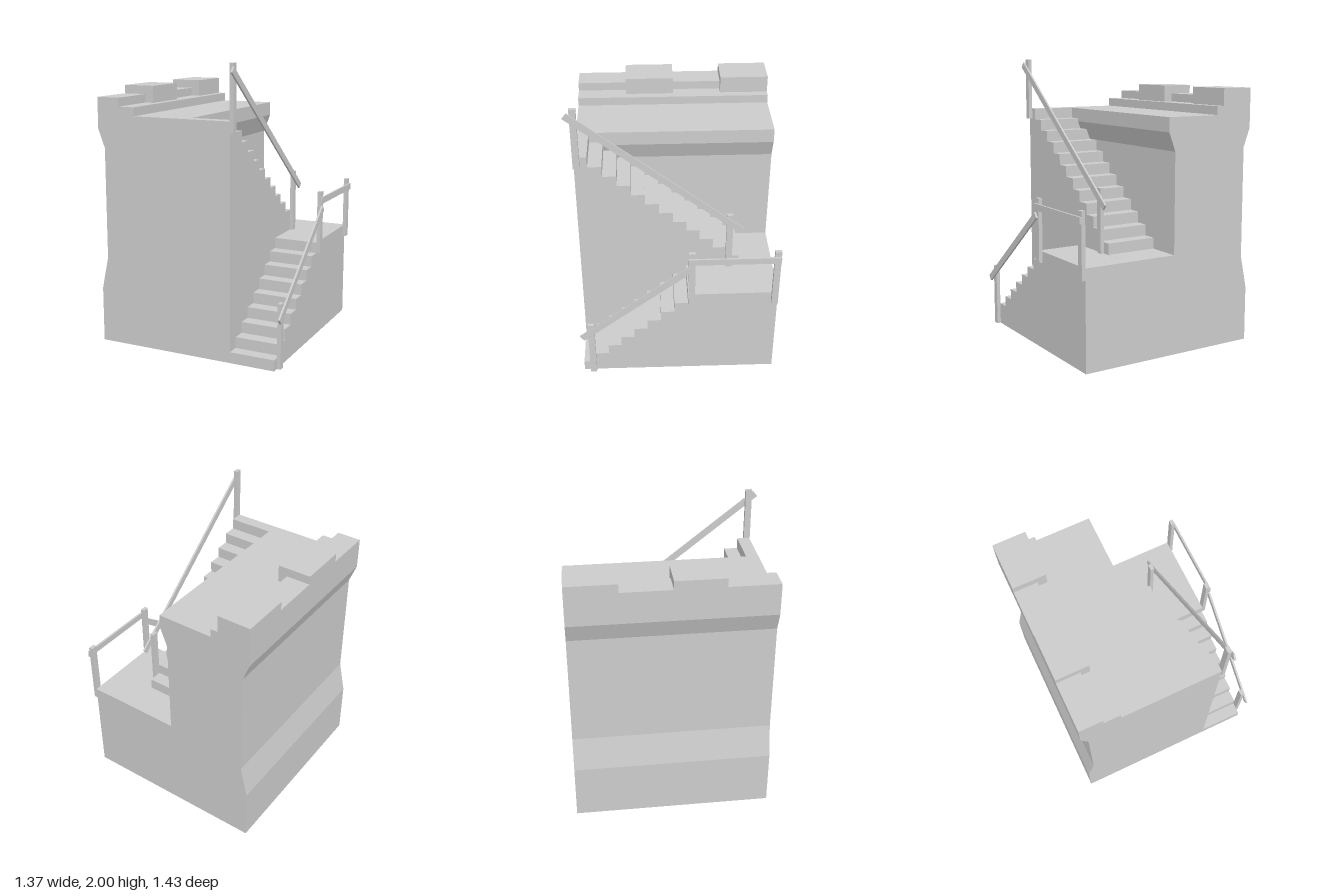
import * as THREE from 'three';

const BACK = -0.715, FRONT = 0.665;
const RISE = 0.0775, RUN = 0.0952;

export function createModel() {
  const model = new THREE.Group();
  const stone = new THREE.MeshStandardMaterial({ color: 0xcccccc });

  const add = (name, geometry) => {
    const mesh = new THREE.Mesh(geometry, stone);
    mesh.name = name;
    model.add(mesh);
    return mesh;
  };
  const extrude = (points, depth) => new THREE.ExtrudeGeometry(
    new THREE.Shape(points.map(([a, b]) => new THREE.Vector2(a, b))),
    { depth, bevelEnabled: false });

  // Box given by its lower and upper corner
  const block = (name, [x0, y0, z0], [x1, y1, z1]) => {
    const mesh = add(name, new THREE.BoxGeometry(x1 - x0, y1 - y0, z1 - z0));
    mesh.position.set((x0 + x1) / 2, (y0 + y1) / 2, (z0 + z1) / 2);
  };

  // Solid cut from a side profile of [z, y] points, spanning x0 to x1
  const sideSolid = (name, points, x0, x1) => {
    const geometry = extrude(points, x1 - x0);
    geometry.rotateY(-Math.PI / 2);
    geometry.translate(x1, 0, 0);
    add(name, geometry);
  };

  // Flat handrail between two [z, y] centre points
  const rail = (name, x0, x1, [za, ya], [zb, yb]) => {
    const length = Math.hypot(zb - za, yb - ya);
    const mesh = add(name, new THREE.BoxGeometry(x1 - x0, 0.046, length));
    mesh.position.set((x0 + x1) / 2, (ya + yb) / 2, (za + zb) / 2);
    mesh.rotation.x = -Math.atan2(yb - ya, zb - za);
  };

  // Main wall: flared base, overhanging top and stepped parapet
  const wall = extrude([
    [-0.69, 0], [-0.05, 0], [-0.05, 1.4], [0, 1.53], [0, 1.63], [-0.4, 1.63],
    [-0.4, 1.69], [-0.52, 1.69], [-0.52, 1.75], [-0.69, 1.75], [-0.69, 1.53],
    [-0.64, 1.4], [-0.64, 0.62], [-0.69, 0.39],
  ], FRONT - BACK);
  wall.translate(0, 0, BACK);
  add('wall', wall);

  // Battlements
  for (const [z0, z1] of [[BACK, -0.37], [-0.025, 0.318]]) {
    block('battlement', [-0.69, 1.69, z0], [-0.455, 1.81, z1]);
  }

  // Upper flight climbs forwards from the landing to the wall top
  const upper = [[FRONT, 0], [FRONT, 1.63]];
  for (let i = 0; i < 12; i++) {
    const z = 0.577 - i * RUN, y = 1.63 - i * RISE;
    upper.push([z, y], [z, y - RISE]);
  }
  upper.push([BACK, 0.7], [BACK, 0]);
  sideSolid('upperStairs', upper.reverse(), -0.05, 0.32);

  // Lower flight climbs backwards from the ground to the landing
  const lower = [[BACK, 0], [FRONT, 0], [FRONT, RISE]];
  for (let i = 1; i < 9; i++) {
    const z = 0.577 - (i - 1) * RUN;
    lower.push([z, i * RISE], [z, (i + 1) * RISE]);
  }
  lower.push([BACK, 0.7]);
  sideSolid('lowerStairsAndLanding', lower, 0.32, 0.643);

  // Railing posts
  const post = (name, x, y0, y1, z) =>
    block(name, [x, y0, z], [x + 0.027, y1, z + 0.045]);
  post('upperTopPost', 0.32, 1.555, 2, 0.625);
  post('upperBottomPost', 0.32, 0.7, 1.15, -0.417);
  post('lowerBottomPost', 0.643, 0, 0.45, 0.575);
  post('landingFrontPost', 0.643, 0.62, 1.07, -0.135);
  post('landingBackPost', 0.643, 0.62, 1.07, BACK);

  // Handrails
  rail('upperHandrail', 0.347, 0.36, [-0.478, 1.027], [0.7, 1.96]);
  rail('lowerHandrail', 0.67, 0.684, [-0.11, 0.953], [0.663, 0.343]);
  rail('landingHandrail', 0.67, 0.684, [BACK, 1.01], [-0.088, 1.01]);

  return model;
}
